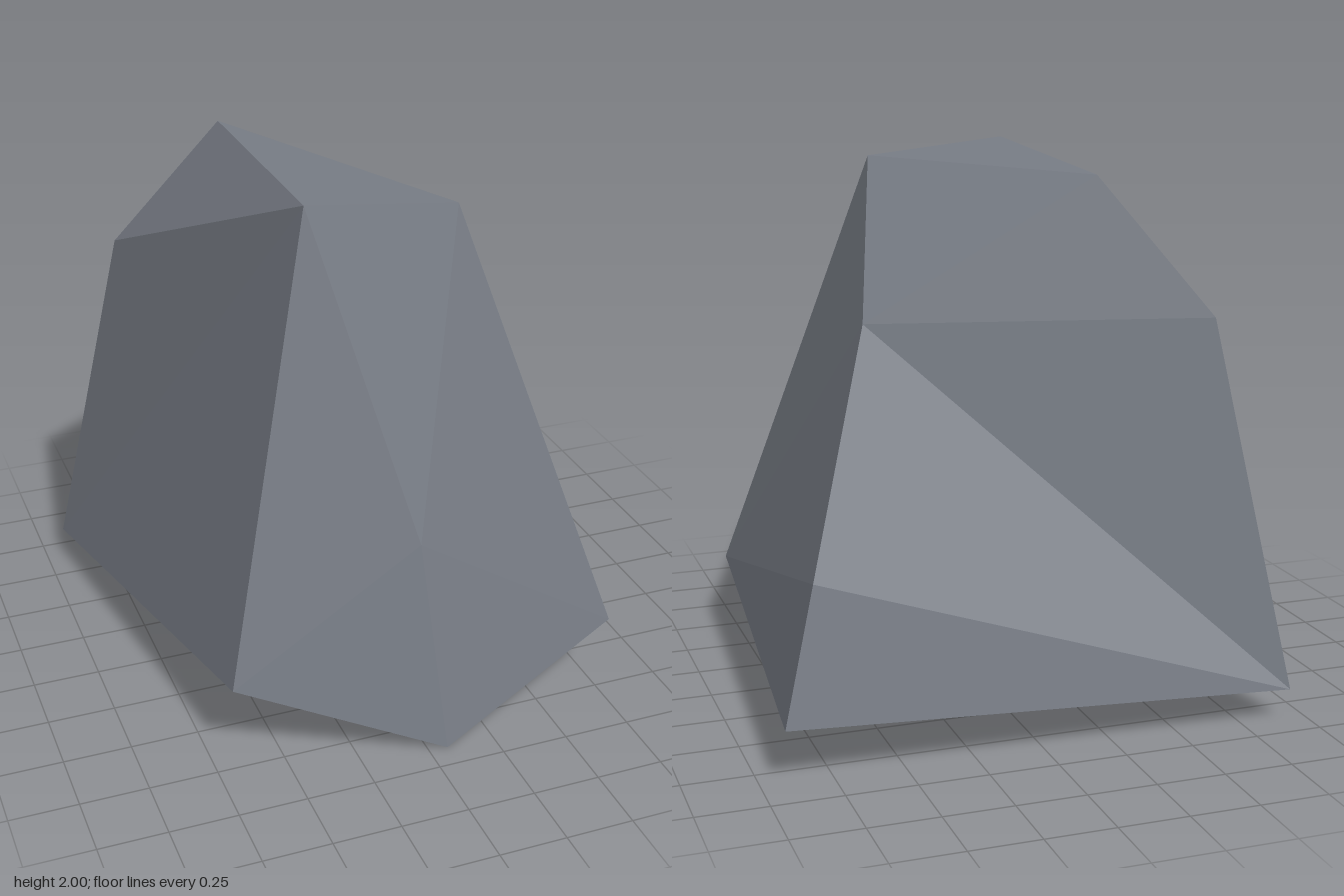
import * as THREE from 'three';

// Corner points of the boulder
const P = {
  topLeft: [-0.33, 2, 0.53], topRight: [0.22, 1.94, 0.53], topBack: [-0.28, 1.95, -0.58],
  shoulderR: [0.52, 1.455, -0.45], shoulderL: [-0.665, 1.46, -0.745],
  hipR: [0.8, 0.67, -0.815], heelR: [0.92, 0.2, -0.885], heelL: [-0.925, 0.12, -0.91],
  toeL: [-0.685, 0.33, 0.75], toeR: [0.785, 0.295, 0.757], tip: [0.07, 0, 0.905],
  belly: [0, 0.8, 0.787],
};

// Facets, each fanned into triangles from its first corner
const FACETS = [
  // top
  ['topBack', 'topLeft', 'topRight', 'shoulderR'],
  // front, around the slight bulge
  ['belly', 'topLeft', 'toeL', 'tip', 'toeR', 'topRight', 'topLeft'],
  // right side
  ['toeR', 'topRight', 'shoulderR', 'hipR', 'heelR'],
  // back, with a shallow hollow
  ['heelL', 'heelR', 'hipR', 'shoulderR', 'shoulderL'],
  ['topBack', 'shoulderR', 'shoulderL', 'topLeft'],
  // left side
  ['topLeft', 'shoulderL', 'heelL', 'toeL'],
  // underside
  ['tip', 'toeR', 'heelR', 'heelL', 'toeL'],
];

function facetGeometry() {
  const centre = new THREE.Vector3(0, 0.8, 0);
  const positions = [];
  for (const facet of FACETS) {
    const pts = facet.map((name) => new THREE.Vector3(...P[name]));
    for (let i = 1; i < pts.length - 1; i++) {
      const [a, b, c] = [pts[0], pts[i], pts[i + 1]];
      // turn every triangle to face away from the centre
      const normal = b.clone().sub(a).cross(c.clone().sub(a));
      const outward = normal.dot(a.clone().sub(centre)) > 0;
      for (const v of outward ? [a, b, c] : [a, c, b]) positions.push(v.x, v.y, v.z);
    }
  }
  const geometry = new THREE.BufferGeometry();
  geometry.setAttribute('position', new THREE.Float32BufferAttribute(positions, 3));
  geometry.computeVertexNormals();
  return geometry;
}

export function createModel() {
  const stone = new THREE.MeshStandardMaterial({ color: 0x787d86, flatShading: true });
  stone.name = 'grey stone';
  const boulder = new THREE.Mesh(facetGeometry(), stone);
  boulder.name = 'boulder';
  const model = new THREE.Group();
  model.name = 'rock';
  model.add(boulder);
  return model;
}
